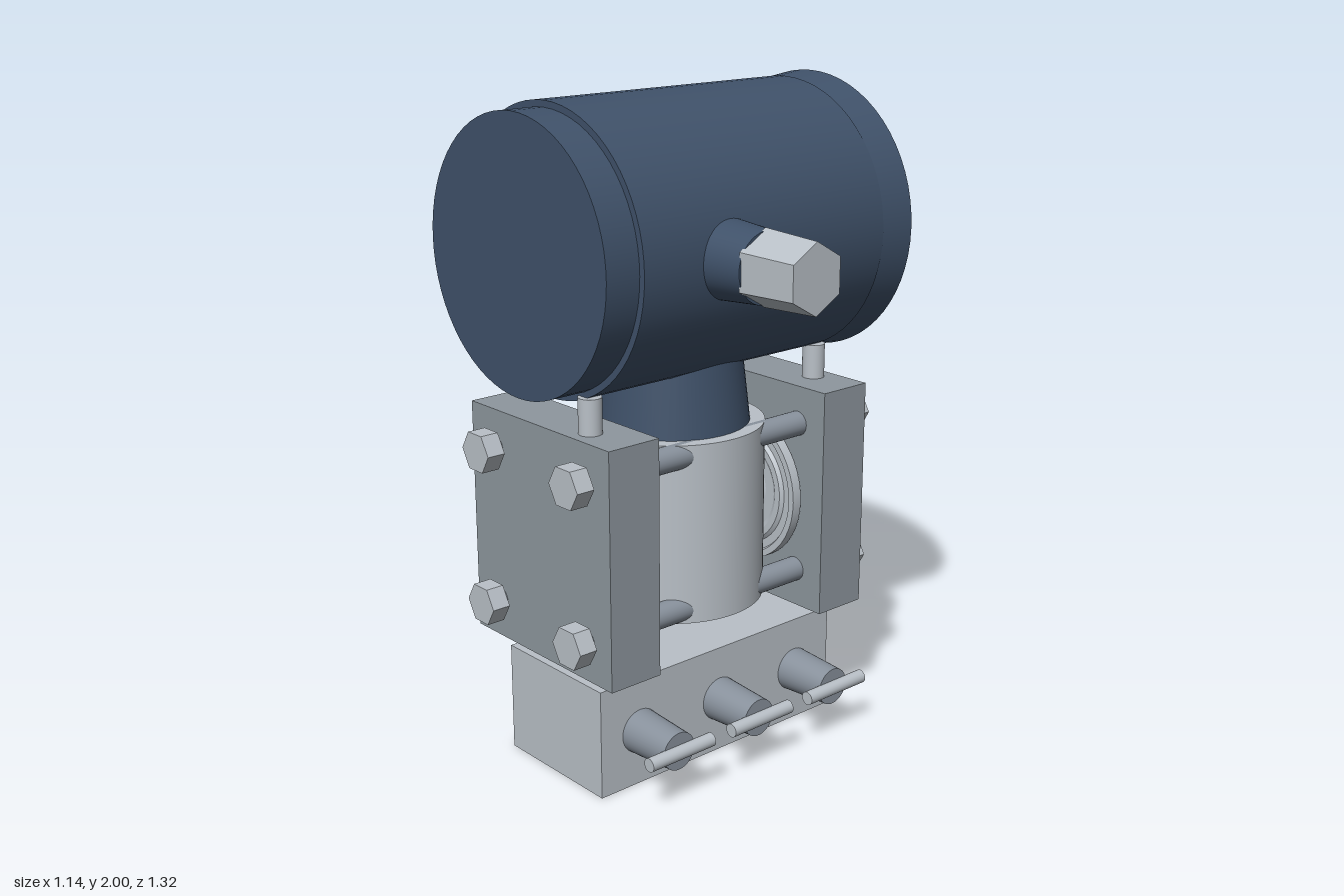
import * as THREE from 'three';
import { toCreasedNormals } from 'three/addons/utils/BufferGeometryUtils.js';

const paint = (name, color) => {
  const m = new THREE.MeshStandardMaterial({ color });
  m.name = name;
  return m;
};

export function createModel() {
  const root = new THREE.Group();
  root.name = 'pressureTransmitter';
  const navy = paint('navy paint', 0x3f5169);
  const silver = paint('light silver', 0xb9c0c7);
  const steel = paint('plate grey', 0x8e979e);
  const rodGrey = paint('rod grey', 0x88919c);

  const CZ = -0.06;   // depth of the centre line
  const HY = 1.577;   // height of the housing axis
  const PX = -0.137;  // x of the conduit ports

  const add = (name, geo, mat, x, y, z, parent = root) => {
    const mesh = new THREE.Mesh(geo, mat);
    mesh.name = name;
    mesh.position.set(x, y, z);
    parent.add(mesh);
    return mesh;
  };
  const turn = (geo, axis) => {
    if (axis === 'x') geo.rotateZ(-Math.PI / 2);
    if (axis === 'z') geo.rotateX(Math.PI / 2);
    return geo;
  };
  // rod or cone running from a to b along an axis, with radius ra to rb
  const span = (axis, a, b, ra, rb = ra, sides = 64) => {
    let geo = new THREE.CylinderGeometry(rb, ra, b - a, sides);
    geo.translate(0, (a + b) / 2, 0);
    if (sides === 6) {
      geo = geo.toNonIndexed();
      geo.computeVertexNormals();
    }
    return turn(geo, axis);
  };

  // Electronics housing with end caps and display window
  const housing = new THREE.Group();
  housing.name = 'housing';
  housing.position.set(0, HY, CZ);
  root.add(housing);
  add('housingBody', span('x', -0.45, 0.45, 0.412), navy, 0, 0, 0, housing);
  add('rearCap', span('x', -0.56, -0.45, 0.393), navy, 0, 0, 0, housing);
  add('displayCap', span('x', 0.45, 0.56, 0.409, 0.422), navy, 0, 0, 0, housing);
  add('displayWindow', span('x', 0.56, 0.568, 0.333), silver, 0, 0, 0, housing);

  // Conduit ports with hexagonal plugs
  add('frontPort', span('z', 0.2, 0.477, 0.122, 0.1), navy, PX, HY, 0);
  add('frontPlug', span('z', 0.47, 0.66, 0.107, 0.098, 6), silver, PX, HY, 0);
  add('backPort', span('z', -0.603, -0.35, 0.117, 0.095), navy, PX, HY, 0);
  add('backPlug', span('z', -0.66, -0.6, 0.107, 0.107, 6), silver, PX, HY, 0);

  // Neck and sensor capsule
  add('neck', span('y', 1.01, 1.3, 0.233, 0.2), navy, 0, 0, CZ);
  add('sensorBody', span('y', 0.466, 1.015, 0.277), silver, 0, 0, CZ);

  // Ridged diaphragm disc, lathed around its own axis
  const profile = [
    [0, -0.01], [0.08, -0.01], [0.095, -0.016], [0.11, -0.006], [0.145, -0.006],
    [0.16, -0.016], [0.18, -0.016], [0.19, -0.006], [0.215, -0.006], [0.22, -0.016],
    [0.24, -0.016], [0.24, 0.016], [0.2, 0.016], [0.19, 0.008], [0, 0.008],
  ].map(([r, h]) => new THREE.Vector2(r, h));

  // Flanges, diaphragms and studs on both sides
  for (const s of [1, -1]) {
    const side = s > 0 ? 'left' : 'right';
    add(side + 'Flange', new THREE.BoxGeometry(0.177, 0.709, 0.635), steel, s * 0.4115, 0.7405, CZ);
    const disc = toCreasedNormals(new THREE.LatheGeometry(profile, 48), 0.4);
    disc.rotateZ(-s * Math.PI / 2);
    add(side + 'Diaphragm', disc, silver, s * 0.294, 0.74, CZ);
    add(side + 'Stud', span('y', 1.09, 1.2, 0.034, 0.034, 32), silver, s * 0.435, 0, 0.098);
  }

  // Four through bolts with hexagonal ends
  for (const y of [0.505, 0.978]) {
    for (const z of [CZ - 0.206, CZ + 0.206]) {
      const bolt = new THREE.Group();
      bolt.name = 'throughBolt';
      bolt.position.set(0, y, z);
      root.add(bolt);
      add('boltRod', span('x', -0.515, 0.515, 0.038, 0.038, 32), rodGrey, 0, 0, 0, bolt);
      add('boltHead', span('x', 0.513, 0.571, 0.064, 0.064, 6), silver, 0, 0, 0, bolt);
      add('boltNut', span('x', -0.571, -0.513, 0.064, 0.064, 6), silver, 0, 0, 0, bolt);
    }
  }

  // Valve manifold with three T-handled valves
  add('manifoldBlock', new THREE.BoxGeometry(0.925, 0.338, 0.432), silver, 0, 0.169, -0.058);
  for (const x of [-0.315, 0, 0.315]) {
    add('valveStem', span('z', 0.15, 0.33, 0.068, 0.058, 40), rodGrey, x, 0.17, 0);
    add('valveHandle', span('x', -0.118, 0.118, 0.021, 0.021, 24), silver, x, 0.17, 0.336);
  }
  return root;
}
